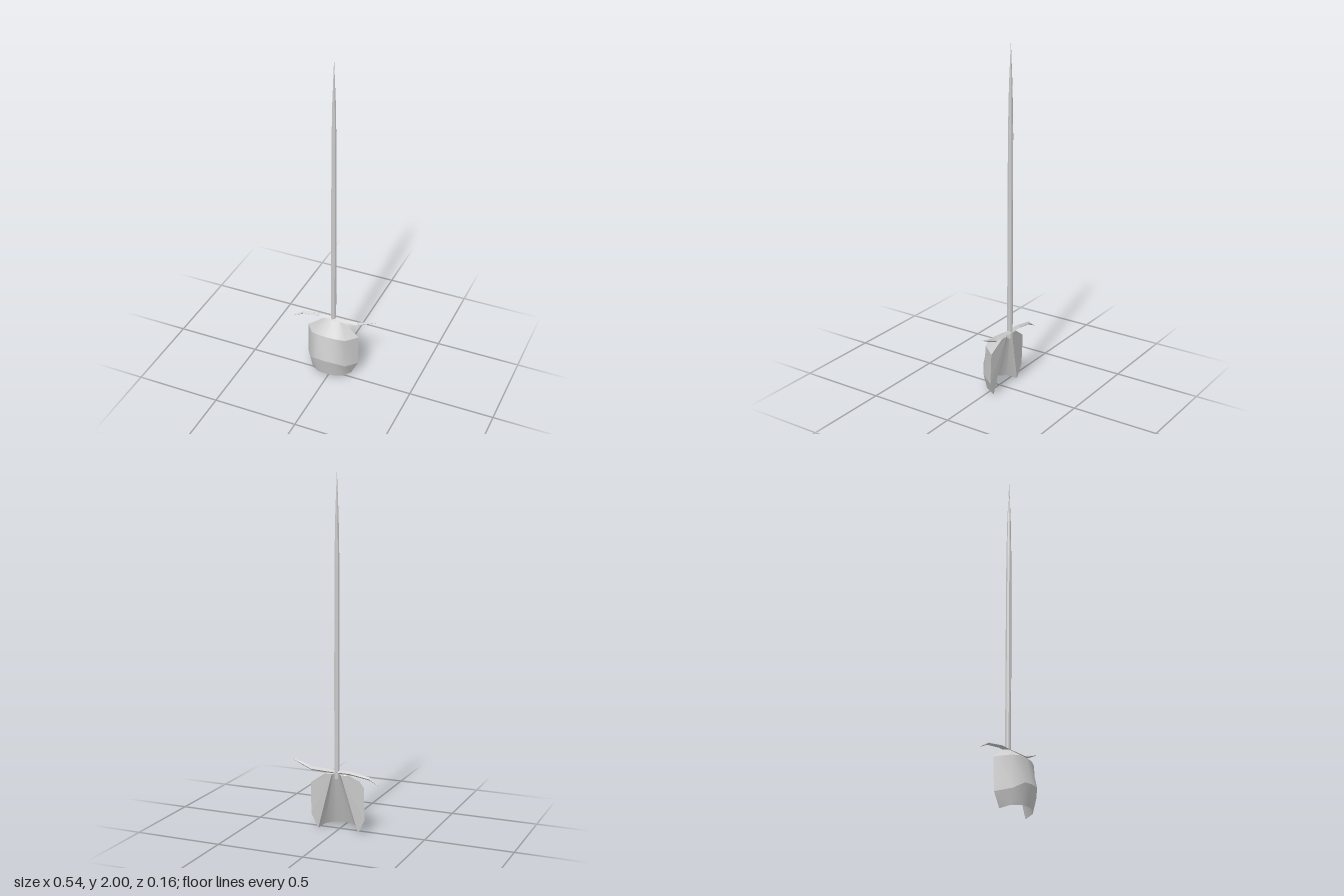
import * as THREE from 'three';

const material = (flat) => new THREE.MeshStandardMaterial({
  color: 0xcccccc, flatShading: flat, side: THREE.DoubleSide,
});

// Skin between consecutive rows of points
function loft(rows, closed = false) {
  const n = rows[0].length, index = [];
  for (let r = 0; r < rows.length - 1; r++) {
    for (let i = 0; i < (closed ? n : n - 1); i++) {
      const j = (i + 1) % n;
      const a = r * n + i, b = r * n + j, c = a + n, d = b + n;
      index.push(a, c, d, a, d, b);
    }
  }
  const g = new THREE.BufferGeometry();
  g.setAttribute('position', new THREE.Float32BufferAttribute(rows.flat(2), 3));
  g.setIndex(index);
  g.computeVertexNormals();
  return g;
}

function add(group, name, geometry, flat) {
  const mesh = new THREE.Mesh(geometry, material(flat));
  mesh.name = name;
  group.add(mesh);
  return mesh;
}

// Mirror half a row (edge to centre) into a full row from -x to +x
const CX = -0.005;
function mirrorRow(half) {
  const left = half.map(([x, y, z]) => [CX - x, y, z]);
  const right = half.slice(0, -1).reverse().map(([x, y, z]) => [CX + x, y, z]);
  return [...left, ...right];
}

export function createModel() {
  const model = new THREE.Group();
  model.name = 'spikedHandGuard';

  // Long eight-sided spike
  const profile = [[0, 0.31], [0.016, 0.315], [0.016, 0.9], [0.0145, 1.5], [0.01, 1.75], [0, 2]];
  const spike = add(model, 'spike',
    new THREE.LatheGeometry(profile.map(([r, y]) => new THREE.Vector2(r, y)), 8), true);
  spike.position.set(-0.01, 0, -0.066);

  // S-curved crossbar with a diamond section, pointed at both ends
  const stations = [ // x, y, half height, half depth
    [-0.272, 0.291, 0, 0], [-0.2, 0.334, 0.009, 0.01], [-0.09, 0.352, 0.011, 0.016],
    [0.02, 0.352, 0.011, 0.017], [0.14, 0.356, 0.011, 0.016], [0.2, 0.378, 0.008, 0.009],
    [0.272, 0.405, 0, 0],
  ];
  const bar = stations.map(([x, y, h, d]) => [0, 1, 2, 3].map((k) => {
    const a = -k * Math.PI / 2;
    return [x, y + h * Math.cos(a), -0.066 + d * Math.sin(a)];
  }));
  add(model, 'crossbar', loft(bar, true), true);

  // Curved guard shell: rows from top to bottom, each edge to centre
  const rows = [
    [[0.07, 0.333, -0.063], [0.05, 0.342, -0.058], [0.027, 0.348, -0.053], [0, 0.35, -0.05]],
    [[0.16, 0.27, -0.052], [0.104, 0.282, 0.024], [0.055, 0.289, 0.04], [0, 0.29, 0.045]],
    [[0.16, 0.085, -0.045], [0.11, 0.102, 0.035], [0.055, 0.138, 0.075], [0, 0.14, 0.08]],
    [[0.12, 0.005, -0.04], [0.1, 0.018, 0.018], [0.052, 0.024, 0.049], [0, 0.026, 0.055]],
  ].map(mirrorRow);
  const guard = new THREE.Group();
  guard.name = 'guard';
  model.add(guard);
  ['guardTop', 'guardFront', 'guardBottom'].forEach((name, r) =>
    add(guard, name, loft([rows[r], rows[r + 1]]), false));

  // Hollow inside, a half cone widening down to the bottom rim
  const innerTop = mirrorRow([[0.027, 0.334, -0.066], [0.02, 0.335, -0.059],
    [0.01, 0.336, -0.056], [0, 0.336, -0.055]]);
  const hollowRows = [innerTop, rows[3]].map((row) => [...row].reverse());
  add(guard, 'hollow', loft(hollowRows), false);

  // Thin cap joining the hollow to the outer top edge
  add(guard, 'topCap', loft([innerTop, rows[0]]), true);

  // Flat back panels either side of the hollow
  for (const side of [-1, 1]) {
    const end = (row) => (side < 0 ? row[0] : row[row.length - 1]);
    const outline = [innerTop, ...rows].map(end);
    const tris = [];
    for (let i = 1; i < outline.length - 1; i++) {
      const [p, q] = side < 0 ? [i + 1, i] : [i, i + 1];
      tris.push(outline[0], outline[p], outline[q]);
    }
    const g = new THREE.BufferGeometry();
    g.setAttribute('position', new THREE.Float32BufferAttribute(tris.flat(), 3));
    g.computeVertexNormals();
    add(guard, side < 0 ? 'rightBackPanel' : 'leftBackPanel', g, true);
  }
  return model;
}
